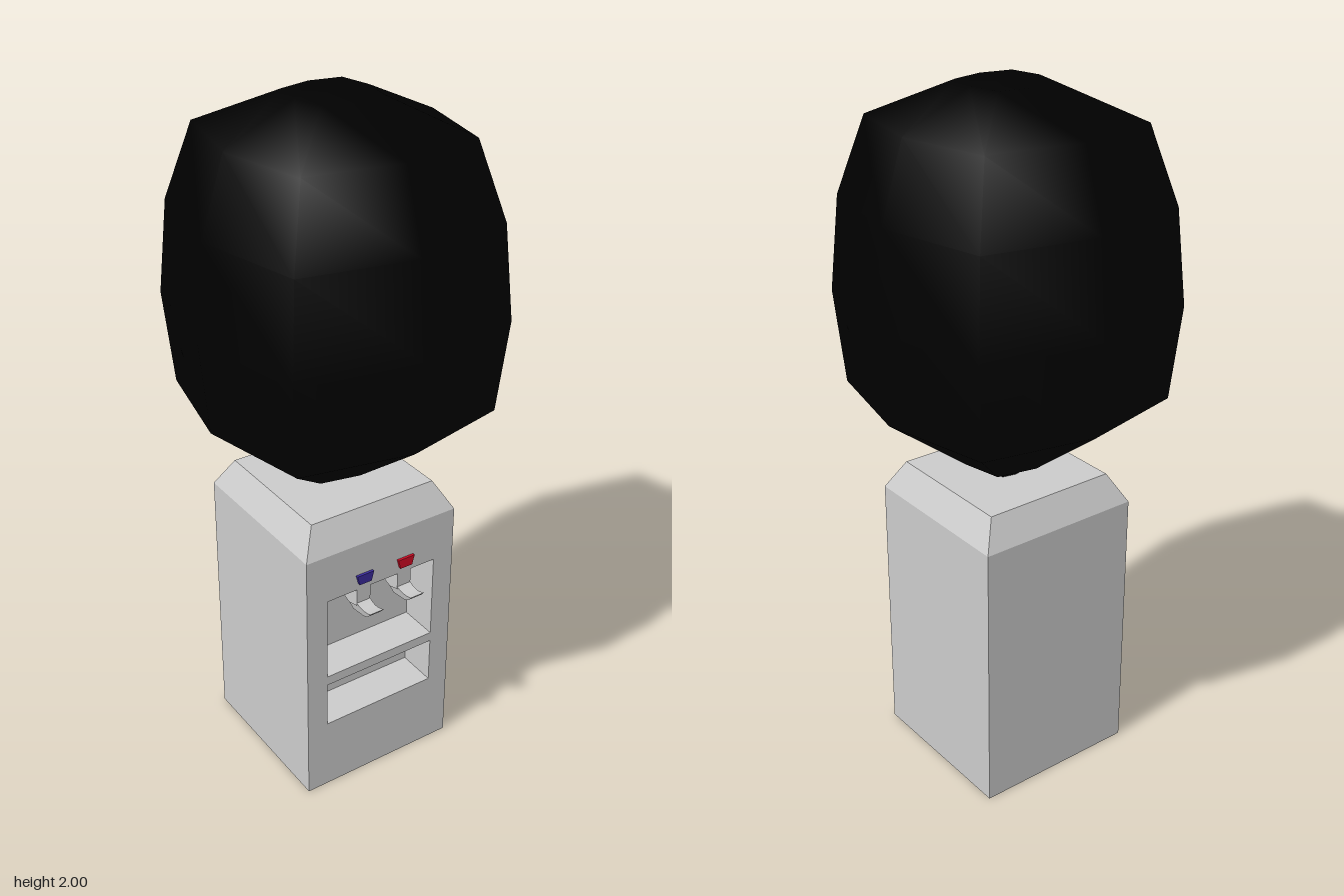
import * as THREE from 'three';
import { mergeVertices } from 'three/addons/utils/BufferGeometryUtils.js';

const material = (color, flatShading = true) => new THREE.MeshStandardMaterial({ color, flatShading });
const grey = material(0xcccccc);

function addMesh(parent, name, geometry, mat, x = 0, y = 0, z = 0) {
  const mesh = new THREE.Mesh(geometry, mat);
  mesh.name = name;
  mesh.position.set(x, y, z);
  parent.add(mesh);
  return mesh;
}

const polygon = (points) => points.map(([x, y]) => new THREE.Vector2(x, y));
const rectangle = (x0, x1, y0, y1) => polygon([[x0, y0], [x1, y0], [x1, y1], [x0, y1]]);
const extrude = (shape, depth) => new THREE.ExtrudeGeometry(shape, { depth, bevelEnabled: false });

// Narrows a part in x by a rule depending on its other coordinates
function taper(geometry, widthAt) {
  const p = geometry.attributes.position;
  for (let i = 0; i < p.count; i++) p.setX(i, p.getX(i) * widthAt(p.getY(i), p.getZ(i)));
  geometry.computeVertexNormals();
  return geometry;
}

// Eight-sided lathe whose diagonal corners are pushed out to a rounded square
function bottleGeometry() {
  const profile = polygon([
    [0, 0.9], [0.05, 0.9], [0.05, 0.93], [0.14, 0.96], [0.23, 1.03], [0.385, 1.15],
    [0.41, 1.42], [0.385, 1.69], [0.315, 1.905], [0.11, 2], [0, 2],
  ]);
  const lathe = new THREE.LatheGeometry(profile, 8);
  const p = lathe.attributes.position;
  for (let i = 0; i < p.count; i++) {
    const column = Math.floor(i / profile.length);
    if (column % 2) {
      p.setX(i, p.getX(i) * 1.165);
      p.setZ(i, p.getZ(i) * 1.165);
    }
  }
  lathe.deleteAttribute('uv');
  lathe.deleteAttribute('normal');
  const geometry = mergeVertices(lathe);
  geometry.computeVertexNormals();
  return geometry;
}

// Tap: coloured marker, body under the recess ceiling, and curved push lever
function createTap(name, color) {
  const tap = new THREE.Group();
  tap.name = name;

  const marker = new THREE.Shape(polygon([[-0.02, 0.69], [0.02, 0.69], [0.028, 0.72], [-0.028, 0.72]]));
  addMesh(tap, 'tapMarker', extrude(marker, 0.015), material(color), 0, 0, 0.243);

  // Side profiles are drawn as (z, y) and turned so that they extrude along x
  const sideProfile = (shape, width) =>
    extrude(shape, width).translate(0, 0, -width / 2).rotateY(-Math.PI / 2);

  const body = new THREE.Shape();
  body.moveTo(0.15, 0.67);
  body.quadraticCurveTo(0.165, 0.61, 0.215, 0.605);
  body.lineTo(0.248, 0.615);
  body.lineTo(0.248, 0.67);
  addMesh(tap, 'tapBody', sideProfile(body, 0.046), grey);

  const lever = new THREE.Shape();
  lever.moveTo(0.19, 0.61);
  lever.lineTo(0.22, 0.582);
  lever.lineTo(0.255, 0.588);
  lever.quadraticCurveTo(0.29, 0.59, 0.314, 0.624);
  lever.quadraticCurveTo(0.28, 0.608, 0.25, 0.622);
  lever.lineTo(0.2, 0.635);
  addMesh(tap, 'tapLever', taper(sideProfile(lever, 0.046),
    (y) => THREE.MathUtils.clamp(0.6 + (y - 0.582) * 10, 0.6, 1)), grey);
  return tap;
}

export function createModel() {
  const model = new THREE.Group();
  model.name = 'waterDispenser';

  // Cabinet: solid back and a front panel with two recesses
  const cabinet = new THREE.Group();
  cabinet.name = 'cabinet';
  model.add(cabinet);
  addMesh(cabinet, 'cabinetBack', new THREE.BoxGeometry(0.5, 0.82, 0.38), grey, 0, 0.41, -0.06);
  const panel = new THREE.Shape(rectangle(-0.25, 0.25, 0, 0.82));
  for (const [y0, y1] of [[0.23, 0.375], [0.405, 0.67]]) {
    panel.holes.push(new THREE.Path(rectangle(-0.183, 0.183, y0, y1)));
  }
  addMesh(cabinet, 'frontPanel', extrude(panel, 0.12), grey, 0, 0, 0.13);

  // Sloped top
  const slope = new THREE.CylinderGeometry(0.203 * Math.SQRT2, 0.25 * Math.SQRT2, 0.085, 4);
  addMesh(cabinet, 'slopedTop', slope.rotateY(Math.PI / 4), grey, 0, 0.8625, 0);

  // Cold and hot taps
  for (const [name, color, x] of [['coldTap', 0x3a2a9c, -0.06], ['hotTap', 0xd00a24, 0.08]]) {
    const tap = createTap(name, color);
    tap.position.x = x;
    model.add(tap);
  }

  // Water bottle with its neck in the cabinet top
  addMesh(model, 'bottle', bottleGeometry(), material(0x000000, false));
  return model;
}
